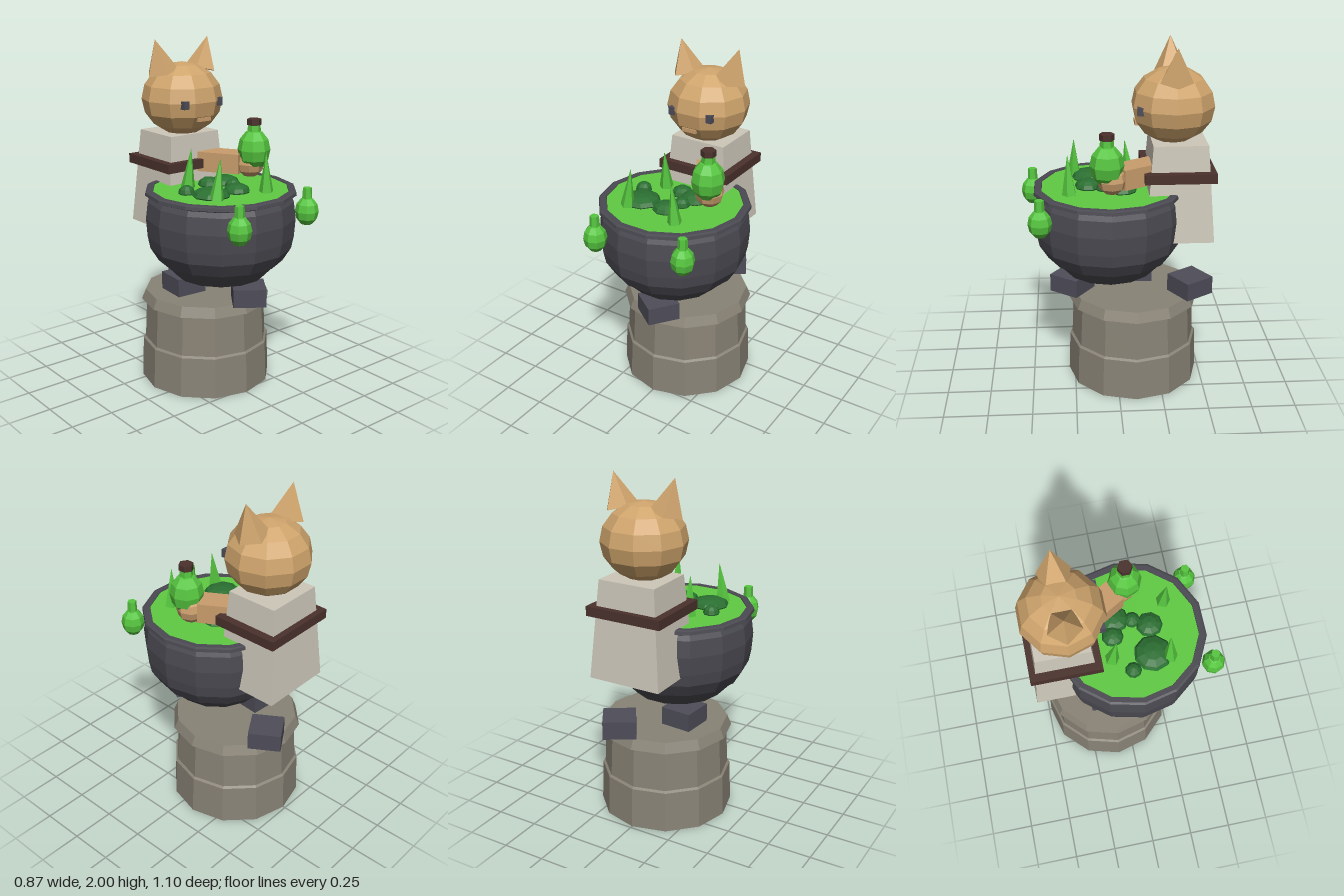
import * as THREE from 'three';

const mat = (name, color) => {
  const m = new THREE.MeshStandardMaterial({ color, flatShading: true });
  m.name = name;
  return m;
};

export function createModel() {
  const root = new THREE.Group();
  root.name = 'catBrewer';

  const stone = mat('warm grey stone', 0x898376);
  const iron = mat('dark iron', 0x4b4a52);
  const fur = mat('tan fur', 0xcfa46c);
  const paw = mat('pinkish tan skin', 0xc99d6c);
  const cloth = mat('pale cloth', 0xcec8ba);
  const leather = mat('dark brown leather', 0x4b322d);
  const brew = mat('bright green brew', 0x5fcb42);
  const glass = mat('green potion glass', 0x56c63f);
  const leaf = mat('dark green leaf', 0x2b7032);
  const slate = mat('slate', 0x4e4d59);

  const add = (name, geo, material, x = 0, y = 0, z = 0, parent = root) => {
    const m = new THREE.Mesh(geo, material);
    m.name = name;
    m.position.set(x, y, z);
    parent.add(m);
    return m;
  };
  const lathe = (pts, sides) => new THREE.LatheGeometry(
    pts.map(([r, y]) => new THREE.Vector2(r, y)), sides, Math.PI / 2);

  // Stone pedestal with a stepped drum and bevelled cap
  add('pedestal', lathe([[0, 0], [0.386, 0], [0.377, 0.24], [0.364, 0.25], [0.352, 0.49],
    [0.382, 0.492], [0.358, 0.55], [0, 0.55]], 12), stone, 0, 0, -0.1);

  // Loose support blocks: x, z, turn
  [[0.03, 0.258, -0.63], [-0.14, -0.13, -0.08], [0.11, -0.425, 0.57]].forEach(([x, z, turn]) => {
    add('supportBlock', new THREE.BoxGeometry(0.186, 0.105, 0.186), slate, x, 0.603, z).rotation.y = turn;
  });

  // Cauldron bowl, flared rim and the brew inside it
  const cauldron = new THREE.Group();
  cauldron.name = 'cauldron';
  cauldron.position.z = 0.042;
  root.add(cauldron);
  add('bowl', lathe([[0, 0.68], [0.26, 0.68], [0.345, 0.77], [0.362, 0.777], [0.41, 0.855],
    [0.424, 0.925], [0.432, 1.03], [0.42, 1.125], [0.405, 1.155]], 14), iron, 0, 0, 0, cauldron);
  add('rim', lathe([[0.405, 1.153], [0.435, 1.165], [0.432, 1.183], [0.42, 1.188], [0.39, 1.188],
    [0.385, 1.165]], 14), iron, 0, 0, 0, cauldron);
  add('brewSurface', lathe([[0.39, 1.183], [0, 1.183]], 14), brew, 0, 0, 0, cauldron);

  // Floating leaf pads: x, z, radius
  [[-0.15, 0.145, 0.108], [0.02, 0.16, 0.076], [-0.225, 0.02, 0.047], [0.067, 0.07, 0.047],
    [-0.01, -0.055, 0.062], [0.09, -0.03, 0.085]].forEach(([x, z, r]) => {
    const pad = add('leafPad', new THREE.SphereGeometry(r, 9, 6), leaf, x, 1.19, z);
    pad.scale.y = 0.042 / r;
  });

  // Herb spikes standing in the brew: x, z, lean x, lean z
  [[-0.135, -0.07, 0.12, -0.02], [-0.172, 0.235, 0, -0.12], [0.14, 0.27, 0.04, 0.06]]
    .forEach(([x, z, lx, lz]) => {
      add('herbSpike', new THREE.ConeGeometry(0.042, 0.23, 5), glass, x, 1.3, z).rotation.set(lx, 0, lz);
    });

  // Potion flasks: rounded bulb and short neck
  const flask = (name, x, y, z, r, neckR, neckTop) => {
    const g = new THREE.Group();
    g.name = name;
    g.position.set(x, y, z);
    root.add(g);
    add('bulb', new THREE.SphereGeometry(r, 8, 6), glass, 0, 0, 0, g).scale.y = 1.25;
    const h = neckTop - r * 0.85;
    add('neck', new THREE.CylinderGeometry(neckR * 0.95, neckR * 1.1, h, 6), glass, 0, neckTop - h / 2, 0, g);
    return g;
  };
  flask('leftHangingFlask', 0.305, 1.08, 0.43, 0.067, 0.027, 0.135);
  flask('rightHangingFlask', -0.23, 1.08, 0.48, 0.067, 0.027, 0.135);
  const held = flask('heldFlask', 0.23, 1.38, 0.062, 0.095, 0.038, 0.145);
  add('stopper', new THREE.CylinderGeometry(0.042, 0.042, 0.034, 6), leather, 0, 0.16, 0, held);

  // Robe as a tapered square block with a belt
  const robeGeo = new THREE.CylinderGeometry(0.152 * Math.SQRT2, 0.193 * Math.SQRT2, 0.555, 4);
  robeGeo.rotateY(Math.PI / 4);
  add('robe', robeGeo, cloth, 0, 1.183, -0.347).scale.x = 1.12;
  add('belt', new THREE.BoxGeometry(0.455, 0.054, 0.398), leather, 0, 1.288, -0.345);

  // Arm reaching to the held flask
  add('arm', new THREE.BoxGeometry(0.14, 0.115, 0.25), paw, 0.13, 1.297, -0.108).rotation.y = 0.54;
  add('paw', new THREE.SphereGeometry(0.083, 8, 6), paw, 0.225, 1.295, 0.035);

  // Head and face
  const head = add('head', new THREE.SphereGeometry(0.236, 10, 8), fur, 0, 1.652, -0.315);
  head.scale.y = 0.9;
  add('mouth', new THREE.BoxGeometry(0.088, 0.022, 0.04), paw, 0, 1.556, -0.122);
  [-1, 1].forEach((s) => {
    add('eye', new THREE.BoxGeometry(0.036, 0.046, 0.035), slate, s * 0.12, 1.645, -0.128);
    const ear = add('ear', new THREE.ConeGeometry(0.095, 0.19, 5), fur, s * 0.163, 1.907, -0.315);
    ear.rotation.set(0, s * Math.PI / 2, -s * 0.25, 'ZYX');
  });

  return root;
}
